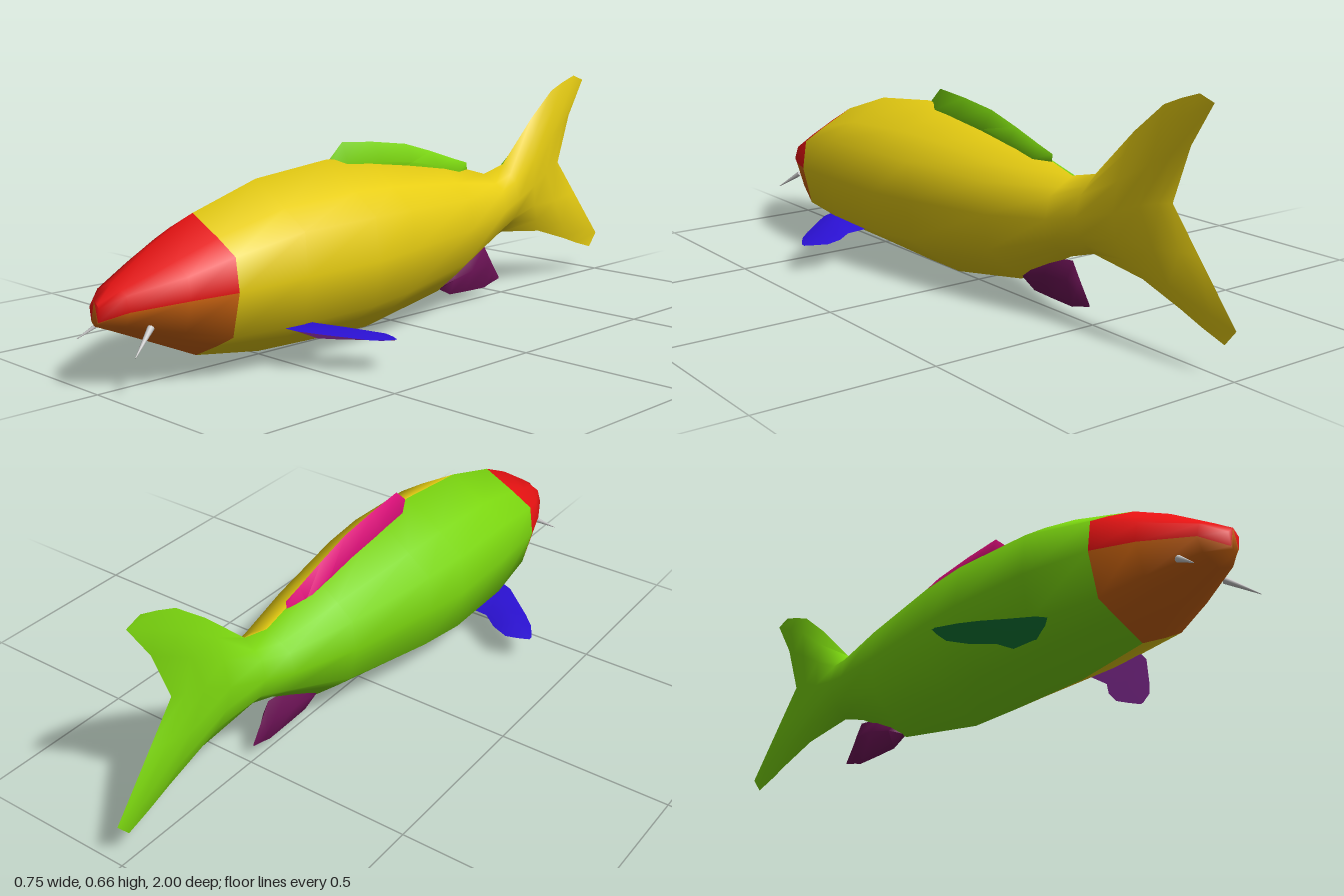
import * as THREE from 'three';
import { toCreasedNormals } from 'three/addons/utils/BufferGeometryUtils.js';

const colours = {
  yellow: 0xe6cc12, lime: 0x7bd60f, red: 0xe61212, orange: 0xd0660f, pink: 0xe0107c,
  blue: 0x2a10d0, purple: 0xc444dc, green: 0x12843c, plum: 0x6a1254, grey: 0xc8c8c8,
};

// Skin a list of closed rings; colourOf(i, j) names the colour of each quad.
function loft(name, mats, rings, colourOf, crease) {
  const n = rings[0].length;
  const buckets = {};
  const add = (colour, ...ids) => (buckets[colour] ??= []).push(...ids);
  for (let j = 1; j < n - 1; j++) add(colourOf(0, j), 0, j + 1, j);
  for (let i = 0; i < rings.length - 1; i++) {
    for (let j = 0; j < n; j++) {
      const k = (j + 1) % n;
      const a = i * n + j, b = i * n + k, c = b + n, d = a + n;
      add(colourOf(i, j), a, b, d, b, c, d);
    }
  }
  const geo = new THREE.BufferGeometry();
  geo.setAttribute('position', new THREE.Float32BufferAttribute(rings.flat(2), 3));
  const index = [];
  const used = Object.keys(buckets);
  used.forEach((colour, m) => {
    geo.addGroup(index.length, buckets[colour].length, m);
    index.push(...buckets[colour]);
  });
  geo.setIndex(index);
  const mesh = new THREE.Mesh(toCreasedNormals(geo, crease), used.map((c) => mats[c]));
  mesh.name = name;
  return mesh;
}

// Half a section, listed top to bottom, mirrored into a full ring.
const mirrorRing = (half) => [
  ...half,
  ...half.slice(1, -1).reverse().map(([x, y, z]) => [-x, y, z]),
];

// Body stations: z, top y, upper (x, y), middle (x, y), lower (x, y), bottom y
const bodyStations = [
  [1.0, 0.235, 0.02, 0.217, 0.014, 0.182, 0.008, 0.176, 0.171],
  [0.95, 0.268, 0.06, 0.245, 0.072, 0.208, 0.055, 0.172, 0.15],
  [0.82, 0.35, 0.125, 0.28, 0.137, 0.224, 0.112, 0.142, 0.093],
  [0.705, 0.407, 0.165, 0.318, 0.178, 0.232, 0.15, 0.115, 0.042],
  [0.5, 0.471, 0.188, 0.356, 0.2, 0.242, 0.183, 0.117, 0.012],
  [0.25, 0.497, 0.19, 0.362, 0.205, 0.245, 0.188, 0.122, 0.005],
  [0.1, 0.492, 0.176, 0.36, 0.186, 0.25, 0.17, 0.13, 0.004],
  [-0.2, 0.448, 0.126, 0.35, 0.137, 0.262, 0.118, 0.16, 0.056],
  [-0.41, 0.39, 0.078, 0.345, 0.09, 0.285, 0.075, 0.225, 0.17],
  [-0.5, 0.411, 0.052, 0.36, 0.066, 0.305, 0.052, 0.25, 0.198],
];

// Tail sections bow backwards until the last one is the forked trailing edge.
const tailSections = [
  [[0, 0.545, -0.64], [0.02, 0.49, -0.63], [0.032, 0.42, -0.62], [0.04, 0.335, -0.61],
    [0.035, 0.27, -0.62], [0.022, 0.22, -0.65], [0, 0.176, -0.684]],
  [[0, 0.626, -0.74], [0.012, 0.57, -0.74], [0.02, 0.48, -0.72], [0.025, 0.37, -0.69],
    [0.022, 0.27, -0.74], [0.016, 0.19, -0.79], [0, 0.134, -0.818]],
  [[0, 0.65, -0.8], [0.008, 0.61, -0.82], [0.012, 0.515, -0.785], [0.015, 0.385, -0.745],
    [0.014, 0.28, -0.82], [0.012, 0.15, -0.93], [0, 0.108, -0.89]],
  [[0, 0.668, -0.856], [0, 0.652, -0.904], [0, 0.54, -0.834], [0, 0.39, -0.78],
    [0, 0.283, -0.87], [0, 0.128, -1.0], [0, 0.085, -0.965]],
];

function makeBody(mats) {
  const mix = (a, b, t) => a + (b - a) * t;
  const rings = bodyStations.map(([z, top, ux, uy, mx, my, lx, ly, bottom]) => mirrorRing([
    [0, top, z],
    [ux * 0.6, mix(top, uy, 0.57), z],
    [ux, uy, z], [mx, my, z], [lx, ly, z],
    [lx * 0.6, mix(bottom, ly, 0.57), z],
    [0, bottom, z],
  ]));
  rings.push(...tailSections.map(mirrorRing));
  const colourOf = (i, j) => {
    if (i < 3) return j < 3 || j > 8 ? 'red' : 'orange';
    return j < 6 ? 'yellow' : 'lime';
  };
  return loft('bodyAndTail', mats, rings, colourOf, Math.PI / 2);
}

// Upright fin from stations: z, top y, bottom y, half width, height share of widest point
function uprightFin(name, mats, stations, colourRight, colourLeft) {
  const rings = stations.map(([z, top, bottom, w, t]) => mirrorRing([
    [0, top, z], [w, bottom + (top - bottom) * t, z], [0, bottom, z],
  ]));
  return loft(name, mats, rings, (i, j) => (j < 2 ? colourRight : colourLeft), 1.1);
}

// Paired side fin from stations: x, front z, front y, back z, back y, half thickness
function pectoralFin(name, mats, side, under) {
  const rings = [
    [0.13, 0.565, 0.117, 0.4, 0.09, 0.014],
    [0.2, 0.543, 0.11, 0.4, 0.086, 0.02],
    [0.25, 0.503, 0.103, 0.36, 0.084, 0.017],
    [0.307, 0.457, 0.096, 0.335, 0.085, 0.011],
    [0.345, 0.422, 0.09, 0.346, 0.086, 0.006],
    [0.375, 0.372, 0.087, 0.36, 0.086, 0.001],
  ].map(([x, zf, yf, zb, yb, t]) => {
    const z = (zf + zb) / 2, y = (yf + yb) / 2, sx = side * x;
    const ring = [[sx, yb, zb], [sx, y + t, z], [sx, yf, zf], [sx, y - t, z]];
    return side > 0 ? ring : ring.reverse();
  });
  const isTop = side > 0 ? (j) => j < 2 : (j) => j === 1 || j === 2;
  return loft(name, mats, rings, (i, j) => (isTop(j) ? 'blue' : under), 1.1);
}

// Thin tapering whisker beside the mouth
function barbel(name, mats, side) {
  const from = new THREE.Vector3(side * 0.084, 0.165, 0.9);
  const to = new THREE.Vector3(side * 0.122, 0.113, 0.973);
  const axis = to.clone().sub(from);
  const mesh = new THREE.Mesh(new THREE.CylinderGeometry(0.001, 0.009, axis.length(), 8), mats.grey);
  mesh.position.copy(from).add(to).multiplyScalar(0.5);
  mesh.quaternion.setFromUnitVectors(new THREE.Vector3(0, 1, 0), axis.normalize());
  mesh.name = name;
  return mesh;
}

export function createModel() {
  const mats = {};
  for (const [name, color] of Object.entries(colours)) {
    mats[name] = new THREE.MeshStandardMaterial({ color });
    mats[name].name = name;
  }
  const fish = new THREE.Group();
  fish.name = 'fish';
  fish.add(makeBody(mats));

  // Fins on the back and under the tail
  fish.add(uprightFin('dorsalFin', mats, [
    [0.235, 0.499, 0.45, 0.004, 0.5],
    [0.19, 0.54, 0.43, 0.022, 0.45],
    [0.07, 0.53, 0.42, 0.029, 0.5],
    [-0.06, 0.513, 0.4, 0.029, 0.55],
    [-0.17, 0.482, 0.38, 0.029, 0.6],
    [-0.27, 0.45, 0.375, 0.022, 0.5],
    [-0.328, 0.433, 0.395, 0.002, 0.5],
  ], 'lime', 'pink'));
  fish.add(uprightFin('analFin', mats, [
    [-0.21, 0.075, 0.06, 0.006, 0.5],
    [-0.257, 0.12, 0.037, 0.022, 0.6],
    [-0.33, 0.15, 0.034, 0.028, 0.6],
    [-0.417, 0.16, 0.032, 0.02, 0.6],
    [-0.444, 0.118, 0.04, 0.012, 0.5],
    [-0.487, 0.055, 0.05, 0.001, 0.5],
  ], 'plum', 'plum'));

  // Paired parts
  fish.add(pectoralFin('leftPectoralFin', mats, 1, 'purple'));
  fish.add(pectoralFin('rightPectoralFin', mats, -1, 'green'));
  fish.add(barbel('leftBarbel', mats, 1), barbel('rightBarbel', mats, -1));
  return fish;
}
